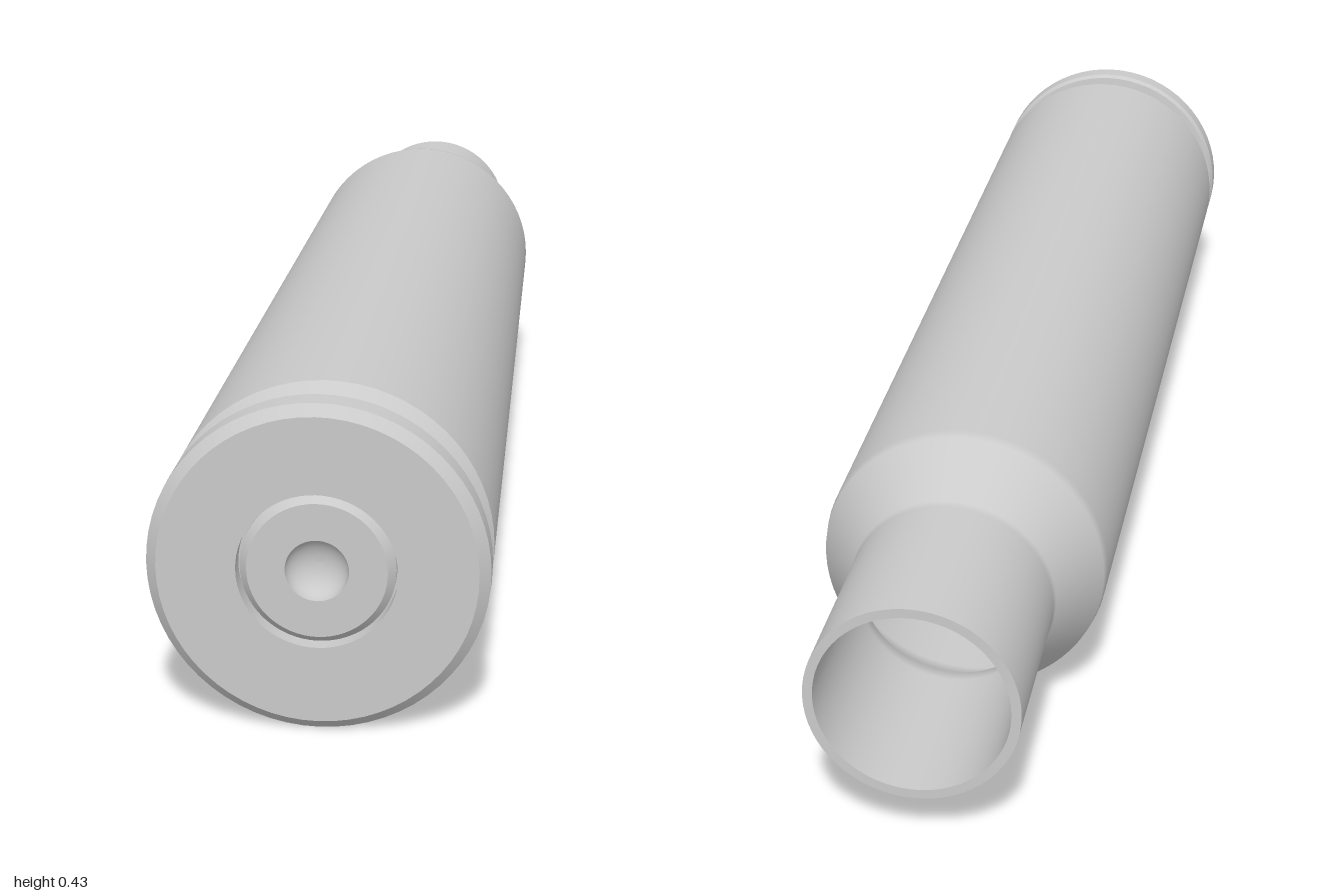
import * as THREE from 'three';

const SIDES = 64;
const AXIS_Y = 0.215;

const metal = new THREE.MeshStandardMaterial({ color: 0xcacaca });
metal.name = 'pale metal';

// Revolve [radius, z] points around the long axis; rising z faces outward.
function turned(name, points) {
  const geometry = new THREE.LatheGeometry(points.map(([r, z]) => new THREE.Vector2(r, z)), SIDES);
  geometry.rotateX(Math.PI / 2);
  const mesh = new THREE.Mesh(geometry, metal);
  mesh.name = name;
  return mesh;
}

// One revolved strip per profile segment keeps the edges between them sharp.
function sharpTurned(name, points) {
  const group = new THREE.Group();
  group.name = name;
  for (let i = 0; i < points.length - 1; i++) {
    group.add(turned(name + 'Strip' + (i + 1), [points[i], points[i + 1]]));
  }
  return group;
}

export function createModel() {
  const model = new THREE.Group();
  model.name = 'cartridgeCase';
  const parts = new THREE.Group();
  parts.name = 'turnedParts';
  parts.position.y = AXIS_Y;
  model.add(parts);

  // Hollow inside, from the floor out to the open mouth
  parts.add(sharpTurned('floor', [[0, 0.8], [0.17, 0.8]]));
  parts.add(turned('innerWall', [
    [0.17, 0.8], [0.185, 0.7], [0.185, -0.62], [0.183, -0.64], [0.129, -0.72], [0.128, -0.74], [0.128, -1],
  ]));
  parts.add(sharpTurned('mouthLip', [[0.128, -1], [0.141, -1]]));

  // Neck, shoulder and tapered body with support loops at the bends
  parts.add(turned('body', [
    [0.141, -1], [0.141, -0.735], [0.143, -0.722], [0.198, -0.642], [0.201, -0.625], [0.214, 0.892],
  ]));

  // Extraction groove, rim and flat head down to the primer pocket
  parts.add(sharpTurned('rim', [
    [0.214, 0.892], [0.188, 0.922], [0.188, 0.942], [0.21, 0.945], [0.215, 0.952],
    [0.215, 0.987], [0.201, 1], [0.101, 1], [0.101, 0.975], [0.098, 0.975],
  ]));

  // Primer with a bevelled edge
  parts.add(sharpTurned('primer', [[0.098, 0.975], [0.098, 0.985], [0.088, 0.996], [0.04, 0.996]]));

  // Round firing dent pressed into the primer
  const dent = [];
  for (let i = 0; i <= 8; i++) {
    const a = (i / 8) * Math.PI / 2;
    dent.push([0.04 * Math.cos(a), 0.996 - 0.03 * Math.sin(a)]);
  }
  dent[8][0] = 0;
  parts.add(turned('dent', dent));

  return model;
}
